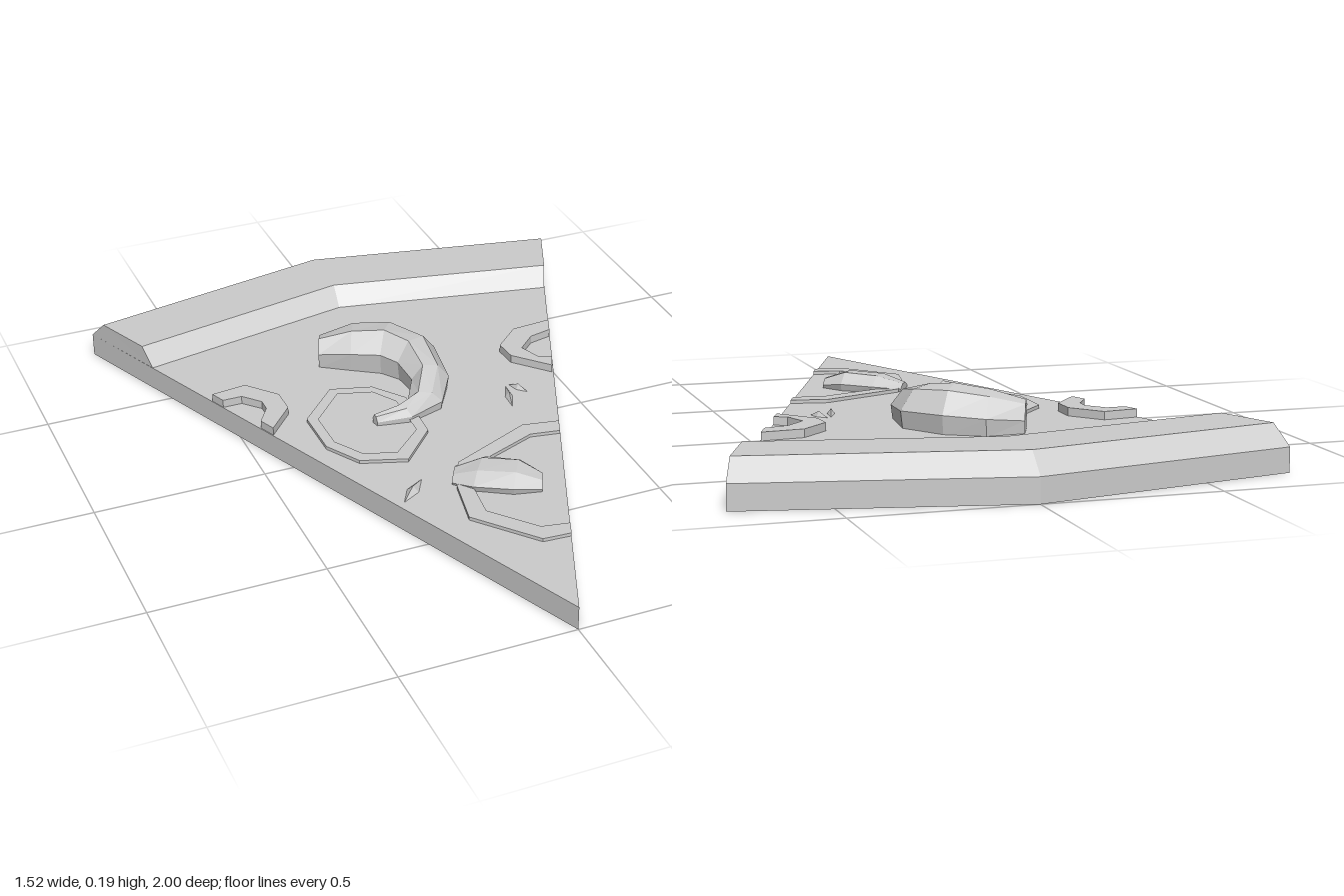
import * as THREE from 'three';

const material = new THREE.MeshStandardMaterial({ color: 0xcccccc, flatShading: true });
const TOP = 0.07; // height of the slice's upper face

function add(group, name, geometry) {
  const mesh = new THREE.Mesh(geometry, material);
  mesh.name = name;
  group.add(mesh);
}

// Extrudes a floor outline of [x, z] points upwards from y0 to y1.
function plate(outline, y0, y1, hole) {
  const flat = (pts) => pts.map(([x, z]) => new THREE.Vector2(x, -z));
  const shape = new THREE.Shape(flat(outline));
  if (hole) shape.holes.push(new THREE.Path(flat(hole)));
  const geo = new THREE.ExtrudeGeometry(shape, { depth: y1 - y0, bevelEnabled: false });
  return geo.rotateX(-Math.PI / 2).translate(0, y0, 0);
}

// Skins a row of closed cross-sections and caps both ends.
function loft(sections) {
  const n = sections[0].length;
  const last = (sections.length - 1) * n;
  const index = [];
  for (let i = 0; i < last; i += n) {
    for (let j = 0; j < n; j++) {
      const k = (j + 1) % n;
      index.push(i + j, i + n + j, i + n + k, i + j, i + n + k, i + k);
    }
  }
  for (let j = 1; j < n - 1; j++) {
    index.push(0, j, j + 1, last, last + j + 1, last + j);
  }
  const geo = new THREE.BufferGeometry();
  geo.setAttribute('position', new THREE.Float32BufferAttribute(sections.flat(2), 3));
  geo.setIndex(index);
  const faceted = geo.toNonIndexed();
  faceted.computeVertexNormals();
  return faceted;
}

// Rounded topping; each row is [edge A x, z, edge B x, z, top height].
function mound(rows, profile) {
  return loft(rows.map(([ax, az, bx, bz, h]) => profile.map(([t, s]) => [
    ax + (bx - ax) * t, TOP - 0.004 + (h - TOP + 0.004) * s, az + (bz - az) * t,
  ])));
}

export function createModel() {
  const group = new THREE.Group();
  group.name = 'pizzaSlice';

  // Wedge of dough
  add(group, 'base', plate([[0, 1], [0.762, -0.845], [0, -1], [-0.762, -0.845]], 0, TOP));

  // Raised crust, bent at the middle
  const side = (s) => [
    [s * 0.651, TOP, -0.578], [s * 0.668, 0.127, -0.618],
    [s * 0.739, 0.127, -0.79], [s * 0.762, TOP, -0.845],
  ];
  const middle = [[0, TOP, -0.71], [0, 0.127, -0.755], [0, 0.127, -0.94], [0, TOP, -1]];
  add(group, 'crust', loft([side(-1), middle, side(1)]));

  // Thin full ring
  add(group, 'wholeRing', plate(
    [[-0.21, -0.24], [-0.09, -0.205], [-0.02, -0.11], [-0.03, 0.08], [-0.14, 0.2], [-0.27, 0.155], [-0.33, 0.05], [-0.33, -0.11]],
    TOP - 0.005, 0.08,
    [[-0.2, -0.205], [-0.1, -0.175], [-0.055, -0.1], [-0.06, 0.065], [-0.155, 0.155], [-0.247, 0.125], [-0.3, 0.035], [-0.3, -0.095]],
  ));

  // Ring cut off by the slice's edge
  add(group, 'cutRing', plate([
    [0.337, 0.18], [0.23, 0.16], [-0.02, 0.27], [-0.07, 0.38], [-0.1, 0.53], [0.04, 0.7], [0.122, 0.705],
    [0.14, 0.66], [0.06, 0.645], [-0.045, 0.52], [-0.03, 0.4], [0.03, 0.295], [0.23, 0.215], [0.317, 0.23],
  ], TOP - 0.005, 0.08));

  // Small thick half rings on the two edges
  add(group, 'leftEdgeRing', plate([
    [0.553, -0.345], [0.43, -0.335], [0.35, -0.26], [0.355, -0.19], [0.445, -0.09],
    [0.466, -0.135], [0.43, -0.15], [0.405, -0.22], [0.46, -0.272], [0.53, -0.288],
  ], TOP - 0.005, 0.094));
  add(group, 'rightEdgeRing', plate([
    [-0.545, -0.325], [-0.44, -0.338], [-0.365, -0.25], [-0.365, -0.17], [-0.443, -0.08],
    [-0.463, -0.13], [-0.425, -0.19], [-0.425, -0.23], [-0.47, -0.28], [-0.527, -0.28],
  ], TOP - 0.005, 0.094));

  // Shrimp curling from its thick end to its thin tail
  add(group, 'shrimp', mound([
    [-0.19, -0.385, -0.155, -0.465, 0.155],
    [-0.11, -0.325, -0.04, -0.475, 0.182],
    [-0.035, -0.275, 0.065, -0.415, 0.195],
    [0, -0.225, 0.145, -0.29, 0.185],
    [0.01, -0.14, 0.125, -0.13, 0.16],
    [-0.035, -0.06, 0.06, -0.025, 0.13],
    [-0.09, -0.04, -0.05, 0.01, 0.115],
    [-0.155, -0.035, -0.15, -0.01, 0.1],
  ], [[0.05, 0], [0, 0.55], [0.3, 1], [0.7, 0.92], [1, 0.45], [0.95, 0]]));

  // Oval faceted topping
  add(group, 'mushroom', mound([
    [-0.075, 0.355, -0.03, 0.278, 0.09],
    [-0.035, 0.412, 0.06, 0.283, 0.114],
    [0.06, 0.47, 0.14, 0.34, 0.12],
    [0.14, 0.485, 0.177, 0.41, 0.095],
  ], [[0.05, 0], [0, 0.45], [0.3, 0.95], [0.7, 1], [1, 0.45], [0.95, 0]]));

  // Slivers of herb
  const slivers = [
    [[0.285, -0.08], [0.25, 0.055], 0.014],
    [[0.29, -0.08], [0.333, -0.008], 0.012],
    [[-0.13, 0.285], [-0.24, 0.395], 0.022],
  ];
  for (const [[ax, az], [bx, bz], w] of slivers) {
    const length = Math.hypot(bx - ax, bz - az);
    const leaf = new THREE.ConeGeometry(1, 1, 4);
    leaf.scale(length / 2, 0.02, w).rotateY(-Math.atan2(bz - az, bx - ax));
    leaf.translate((ax + bx) / 2, TOP + 0.006, (az + bz) / 2);
    add(group, 'herb', leaf);
  }

  return group;
}
